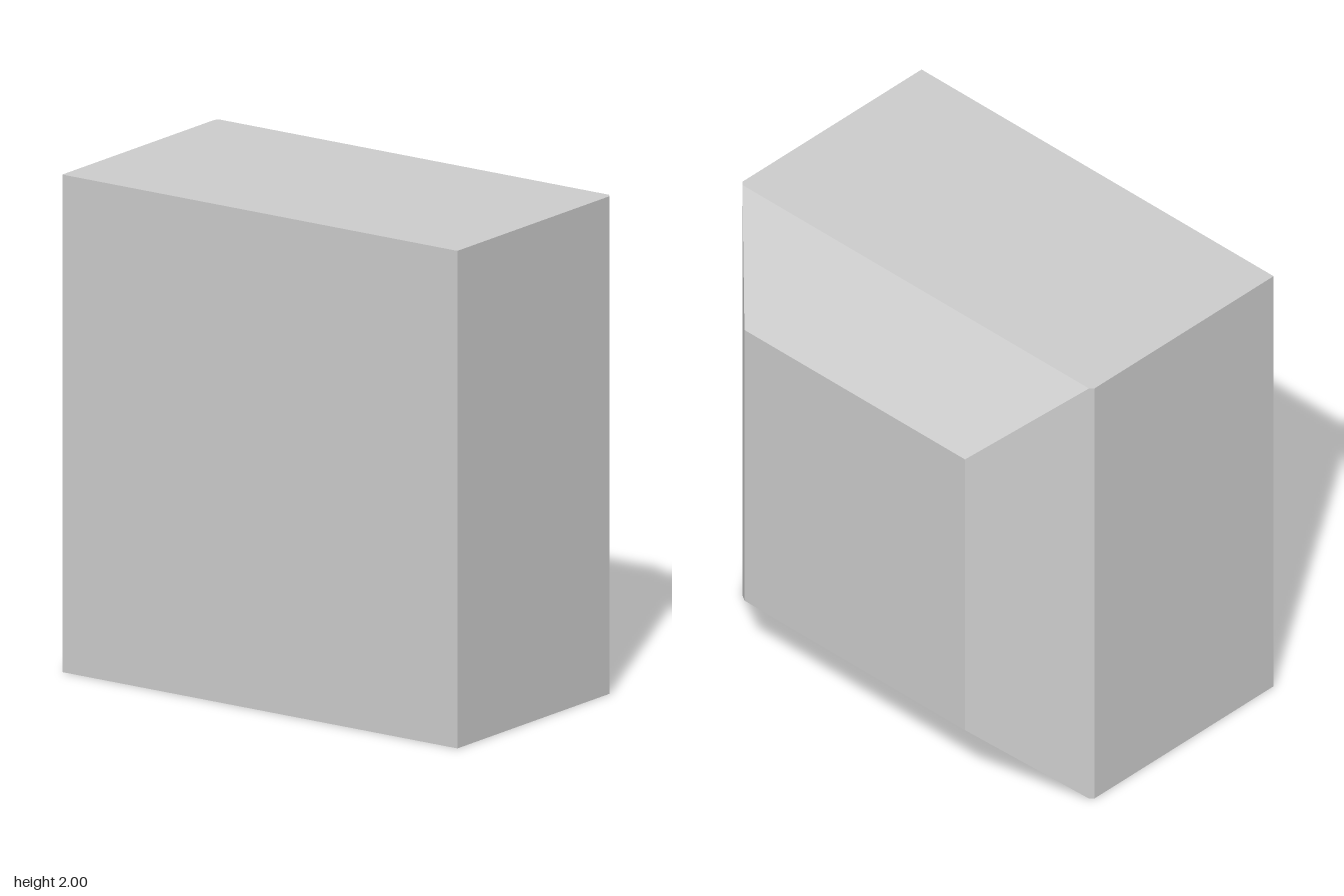
import * as THREE from 'three';
import { ConvexGeometry } from 'three/addons/geometries/ConvexGeometry.js';

const HALF_X = 0.677, HALF_Y = 1, HALF_Z = 0.95;
const FACE_Y = 0.66, FACE_Z = 0.595; // half size of the small end face

export function createModel() {
  const group = new THREE.Group();
  group.name = 'bevelledBlock';

  // 45 degree bevels around the +x end
  const xTop = HALF_X - (HALF_Y - FACE_Y);   // where the top and bottom bevels start
  const xSide = HALF_X - (HALF_Z - FACE_Z);  // where the front and back bevels start

  // Corner points of one quarter, mirrored in y and z
  const quarter = [
    [-HALF_X, HALF_Y, HALF_Z],
    [xSide, HALF_Y, HALF_Z],
    [xTop, HALF_Y, HALF_Z - (xTop - xSide)],
    [HALF_X, FACE_Y, FACE_Z],
  ];
  const points = [];
  for (const sy of [-1, 1])
    for (const sz of [-1, 1])
      for (const [x, y, z] of quarter) points.push(new THREE.Vector3(x, sy * y, sz * z));

  const block = new THREE.Mesh(
    new ConvexGeometry(points),
    new THREE.MeshStandardMaterial({ color: 0xcccccc, flatShading: true })
  );
  block.name = 'block';
  block.position.y = HALF_Y;
  group.add(block);
  return group;
}
